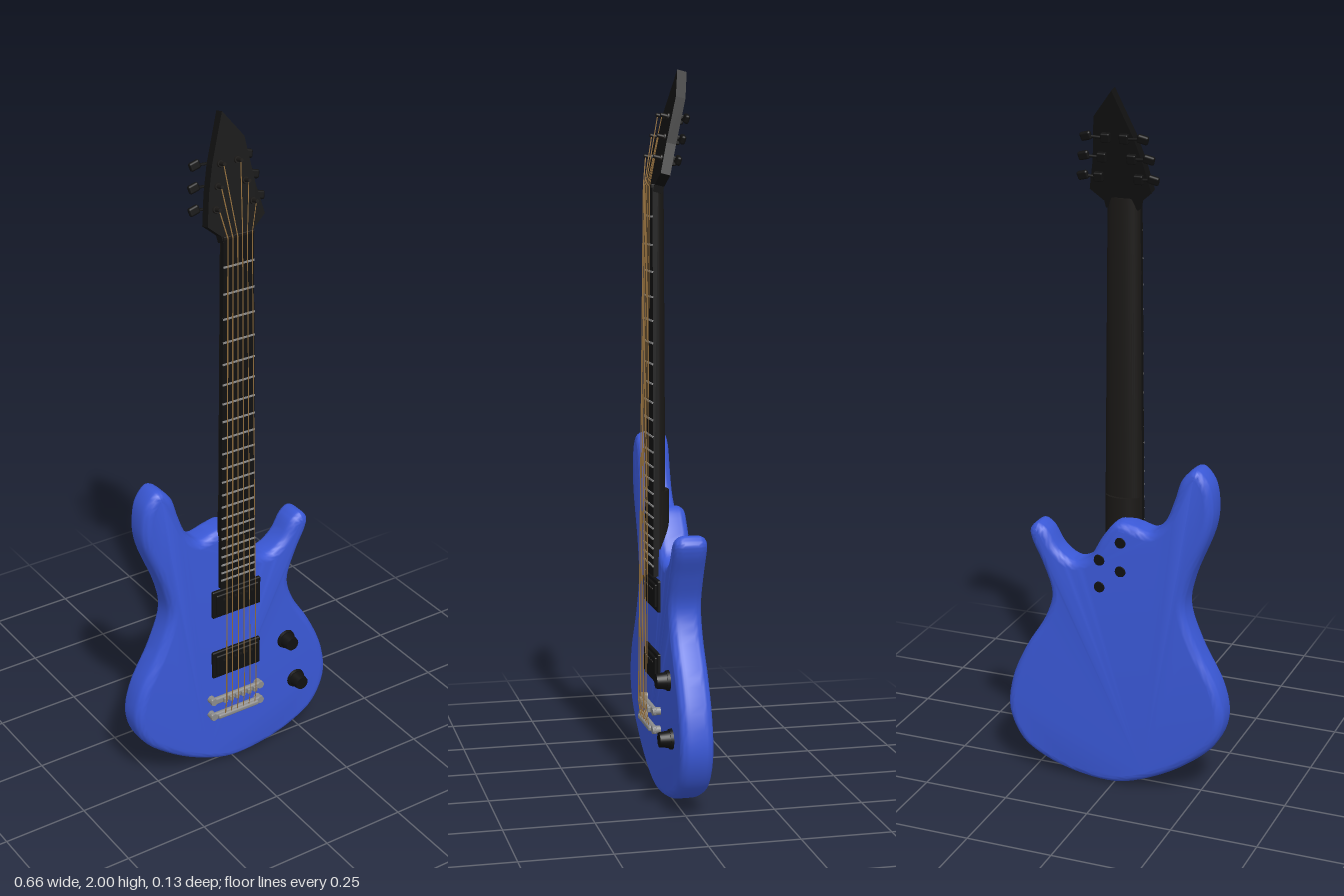
import * as THREE from 'three';
import { toCreasedNormals } from 'three/addons/utils/BufferGeometryUtils.js';
import { RoundedBoxGeometry } from 'three/addons/geometries/RoundedBoxGeometry.js';

const mat = (color) => new THREE.MeshStandardMaterial({ color });
const V = (x, y, z) => new THREE.Vector3(x, y, z);

export function createModel() {
  const guitar = new THREE.Group();
  const blue = mat(0x3a58d6), black = mat(0x111111), dark = mat(0x1a1816);
  const metal = mat(0x8c8c8c), gold = mat(0x9a7440);

  const add = (name, geometry, material, x = 0, y = 0, z = 0, parent = guitar) => {
    const mesh = new THREE.Mesh(geometry, material);
    mesh.name = name;
    mesh.position.set(x, y, z);
    parent.add(mesh);
    return mesh;
  };
  const box = (w, h, d, r = 0.004) => new RoundedBoxGeometry(w, h, d, 2, r);
  // cylinder whose axis points along z
  const disc = (rFront, rBack, depth, sides = 20) =>
    new THREE.CylinderGeometry(rFront, rBack, depth, sides).rotateX(Math.PI / 2);
  const rod = (name, a, b, r, material, parent = guitar) => {
    const dir = b.clone().sub(a);
    const mesh = add(name, new THREE.CylinderGeometry(r, r, dir.length(), 6), material, 0, 0, 0, parent);
    mesh.position.copy(a).lerp(b, 0.5);
    mesh.quaternion.setFromUnitVectors(V(0, 1, 0), dir.normalize());
    return mesh;
  };
  const plate = (points, options) => new THREE.ExtrudeGeometry(
    new THREE.Shape(points.map(([x, y]) => new THREE.Vector2(x, y))), options);

  // Body: two unequal horns, rounded edges
  const outline = [
    [0, 0.004], [0.11, 0.012], [0.21, 0.042], [0.285, 0.09], [0.327, 0.18], [0.317, 0.28],
    [0.27, 0.39], [0.21, 0.49], [0.19, 0.565], [0.217, 0.65], [0.25, 0.72], [0.254, 0.75],
    [0.232, 0.77], [0.203, 0.755], [0.167, 0.7], [0.12, 0.672], [0.075, 0.69], [0.035, 0.755],
    [-0.01, 0.805], [-0.06, 0.8], [-0.11, 0.79], [-0.15, 0.825], [-0.177, 0.89], [-0.2, 0.955],
    [-0.24, 0.986], [-0.278, 0.95], [-0.292, 0.88], [-0.284, 0.81], [-0.227, 0.66], [-0.213, 0.575],
    [-0.248, 0.47], [-0.313, 0.345], [-0.33, 0.255], [-0.303, 0.175], [-0.2, 0.085], [-0.08, 0.024],
  ];
  const curve = new THREE.CatmullRomCurve3(outline.map(([x, y]) => V(x, y, 0)), true);
  const bodyPoints = curve.getPoints(180).slice(0, -1).map((p) => [p.x, p.y]);
  const bodyGeometry = plate(bodyPoints, {
    depth: 0.036, bevelEnabled: true, bevelSize: 0.024, bevelThickness: 0.028,
    bevelOffset: -0.024, bevelSegments: 6,
  });
  add('body', toCreasedNormals(bodyGeometry, 0.7), blue, 0, 0, -0.034);

  // Neck and heel: half-round backs
  const halfRound = (rTop, rBottom, y0, y1, depthScale) =>
    new THREE.CylinderGeometry(rTop, rBottom, y1 - y0, 24, 1, false, Math.PI / 2, Math.PI)
      .scale(1, 1, depthScale).translate(0, (y0 + y1) / 2, 0);
  add('neck', halfRound(0.047, 0.056, 0.7, 1.7, 0.56), dark, 0, 0, 0.031);
  add('neckHeel', halfRound(0.053, 0.055, 0.7, 0.86, 0.78), dark, 0, 0, 0.031);

  // Fretboard, nut and frets
  const nutY = 1.69, bridgeY = 0.25, boardEnd = 0.625;
  const halfWidth = (y) => THREE.MathUtils.mapLinear(y, boardEnd, nutY, 0.057, 0.047);
  add('fretboard', plate([
    [-halfWidth(boardEnd), boardEnd], [halfWidth(boardEnd), boardEnd],
    [halfWidth(nutY), nutY], [-halfWidth(nutY), nutY],
  ], { depth: 0.015, bevelEnabled: false }), black, 0, 0, 0.029);
  add('nut', box(0.094, 0.01, 0.02, 0.002), dark, 0, nutY, 0.038);
  for (let i = 1; i <= 22; i++) {
    const y = bridgeY + (nutY - bridgeY) / 2 ** (i / 12);
    add('fret', new THREE.BoxGeometry(2 * halfWidth(y), 0.005, 0.004), metal, 0, y, 0.0445);
  }

  // Headstock: pointed and tilted back
  const head = new THREE.Group();
  head.name = 'headstock';
  head.position.set(0, nutY, 0.04);
  head.rotation.x = -0.238;
  guitar.add(head);
  add('headstockPlate', plate([
    [-0.047, -0.015], [0.047, -0.015], [0.05, 0.005], [0.089, 0.037], [0.072, 0.12],
    [0.057, 0.245], [0, 0.319], [-0.05, 0.19], [-0.07, 0.12], [-0.087, 0.037], [-0.05, 0.005],
  ], { depth: 0.027, bevelEnabled: false }), black, 0, 0, -0.027, head);

  // Tuners: post in front, shaft and button to the side
  const rows = [[0.057, 0.077, 0.1], [0.042, 0.134, 0.092], [0.026, 0.19, 0.08]];
  const posts = [];
  for (const side of [-1, 1]) {
    for (const [x, y, buttonX] of rows) {
      add('tunerPost', disc(0.005, 0.006, 0.026, 10), dark, side * x, y, 0.01, head);
      add('tunerCollar', disc(0.009, 0.01, 0.005, 12), dark, side * x, y, 0.002, head);
      add('tunerHousing', box(0.026, 0.026, 0.016), black, side * x, y, -0.033, head);
      rod('tunerShaft', V(side * x, y, -0.035), V(side * buttonX, y + 0.003, -0.036), 0.004, black, head);
      const button = add('tunerButton', box(0.032, 0.024, 0.014, 0.006), black, side * buttonX, y + 0.003, -0.036, head);
      button.rotation.z = -side * 0.25;
      posts.push(V(side * x, y, 0.018));
    }
  }
  head.updateMatrix();
  posts.forEach((p) => p.applyMatrix4(head.matrix));

  // Pickups with pole pieces
  for (const y of [0.573, 0.367]) {
    add('pickupFrame', box(0.162, 0.088, 0.012), black, 0, y, 0.033);
    add('pickupCover', box(0.142, 0.066, 0.016), black, 0, y, 0.037);
    for (let i = 0; i < 6; i++) {
      add('polePiece', disc(0.004, 0.004, 0.003, 8), dark, (i - 2.5) * 0.019, y + 0.016, 0.045);
    }
  }

  // Bridge, saddles and tailpiece
  const stringX = (i, spread) => (i - 2.5) * spread;
  for (const [name, y] of [['bridge', bridgeY], ['tailpiece', 0.197]]) {
    add(name, box(0.18, 0.022, 0.014, 0.006), metal, -0.005, y, 0.046);
    for (const side of [-1, 1]) {
      add(name + 'Stud', disc(0.011, 0.011, 0.026, 14), metal, -0.005 + side * 0.08, y, 0.04);
    }
  }
  add('tailpieceTop', box(0.14, 0.016, 0.014, 0.006), metal, -0.005, 0.197, 0.054);
  for (let i = 0; i < 6; i++) {
    add('saddle', box(0.012, 0.016, 0.012, 0.002), metal, stringX(i, 0.0205), bridgeY, 0.056);
  }

  // Strings: tailpiece, saddle, nut, tuner post
  const postOrder = [0, 1, 2, 5, 4, 3];
  for (let i = 0; i < 6; i++) {
    const path = [
      V(stringX(i, 0.0205), 0.197, 0.056), V(stringX(i, 0.0205), bridgeY, 0.063),
      V(stringX(i, 0.015), nutY, 0.05), posts[postOrder[i]],
    ];
    for (let k = 0; k < 3; k++) rod('string', path[k], path[k + 1], 0.0017 - i * 0.00012, gold);
  }

  // Control knobs
  for (const [x, y] of [[0.177, 0.363], [0.214, 0.21]]) {
    add('knobSkirt', disc(0.027, 0.029, 0.008, 28), black, x, y, 0.034);
    add('knob', disc(0.02, 0.024, 0.03, 28), black, x, y, 0.051);
  }

  // Neck bolts on the back
  for (const [x, y] of [[-0.025, 0.75], [-0.025, 0.665], [0.038, 0.69], [0.038, 0.61]]) {
    add('neckBolt', disc(0.017, 0.015, 0.006), black, x, y, -0.062);
  }
  return guitar;
}
